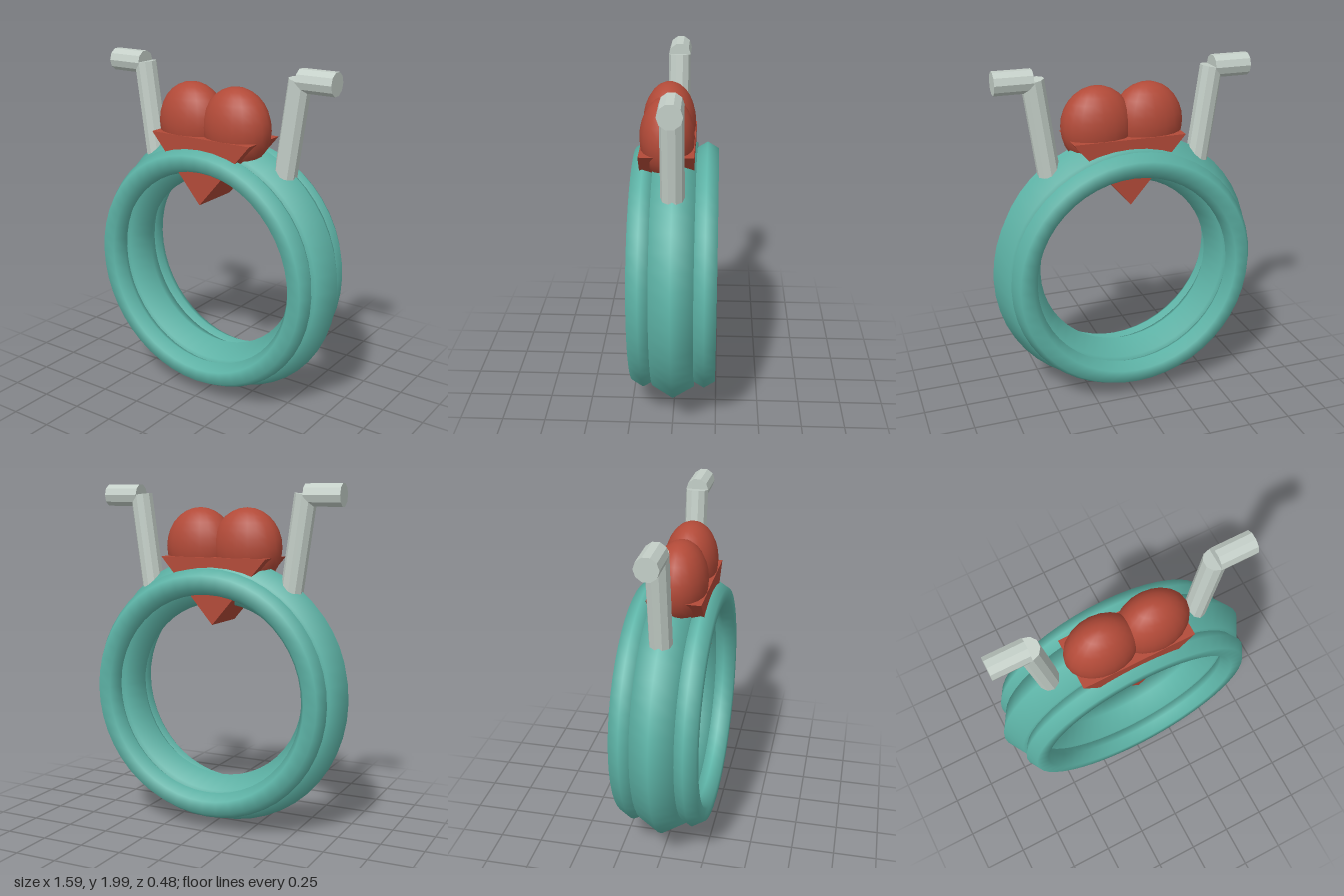
import * as THREE from 'three';

export function createModel() {
  const model = new THREE.Group();
  const teal = new THREE.MeshStandardMaterial({ name: 'teal', color: 0x5eb5a8 });
  const red = new THREE.MeshStandardMaterial({ name: 'red', color: 0xb24a38 });
  const silver = new THREE.MeshStandardMaterial({ name: 'silver', color: 0xc4cfc8 });

  const add = (name, geometry, material, x, y, z, parent = model) => {
    const mesh = new THREE.Mesh(geometry, material);
    mesh.name = name;
    mesh.position.set(x, y, z);
    parent.add(mesh);
    return mesh;
  };
  // Unshared vertices give faceted sides
  const faceted = (geometry) => {
    const g = geometry.toNonIndexed();
    g.computeVertexNormals();
    return g;
  };

  // Three bands, six-sided in section
  const band = (name, tube, z) =>
    add(name, new THREE.TorusGeometry(0.655, tube, 6, 48), teal, 0, 0.8, z);
  band('middleBand', 0.138, 0);
  band('frontBand', 0.075, 0.175);
  band('backBand', 0.075, -0.178);

  // Heart: two rounded lobes over a wedge that points down through the bands
  const wedge = new THREE.Shape([
    new THREE.Vector2(-0.33, 1.585),
    new THREE.Vector2(0, 1.2),
    new THREE.Vector2(0.33, 1.585),
  ]);
  const heart = new THREE.Group();
  heart.name = 'heart';
  model.add(heart);
  add('heartWedge', new THREE.ExtrudeGeometry(wedge, { depth: 0.302, bevelEnabled: false }),
    red, 0, 0, -0.11, heart);
  for (const side of [-1, 1]) {
    const lobe = add(side > 0 ? 'leftLobe' : 'rightLobe',
      new THREE.SphereGeometry(1, 20, 14), red, side * 0.15, 1.64, 0.043, heart);
    lobe.scale.set(0.21, 0.228, 0.152);
  }

  // Handlebars: a leaning post with a grip pointing outward
  for (const side of [-1, 1]) {
    const handle = new THREE.Group();
    handle.name = side > 0 ? 'leftHandle' : 'rightHandle';
    model.add(handle);
    const post = add('post', faceted(new THREE.CylinderGeometry(0.065, 0.065, 0.545, 10)),
      silver, side * 0.485, 1.67, 0, handle);
    post.rotation.z = -side * 0.14;
    const grip = add('grip', faceted(new THREE.CylinderGeometry(0.066, 0.066, 0.215, 10)),
      silver, side * 0.633, 1.936, 0, handle);
    grip.rotation.z = -side * Math.PI / 2;
  }
  return model;
}
